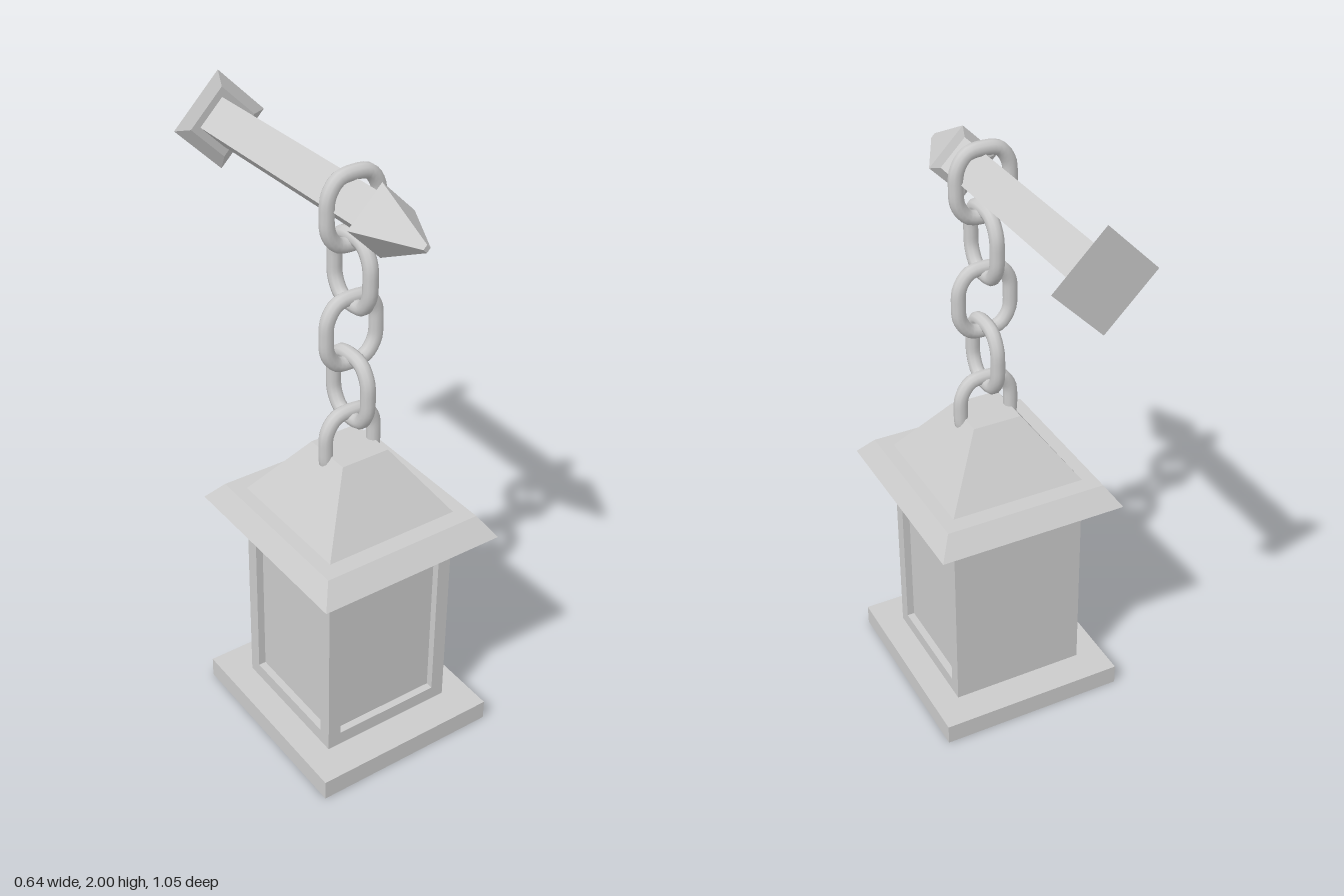
import * as THREE from 'three';

const smooth = new THREE.MeshStandardMaterial({ color: 0xcccccc });
const flat = new THREE.MeshStandardMaterial({ color: 0xcccccc, flatShading: true });
const LANTERN_Z = 0.18; // the lantern hangs in front of the wall plate
const ARM_Y = 1.84;

function part(name, geometry, material = flat) {
  const mesh = new THREE.Mesh(geometry, material);
  mesh.name = name;
  return mesh;
}

// Rectangular block from y0 to y1; half sizes [x, z] at the bottom and top
function block(name, y0, y1, [bx, bz], [tx, tz] = [bx, bz]) {
  const geo = new THREE.BoxGeometry(2, y1 - y0, 2);
  const p = geo.attributes.position;
  for (let i = 0; i < p.count; i++) {
    const top = p.getY(i) > 0;
    p.setX(i, p.getX(i) * (top ? tx : bx));
    p.setZ(i, p.getZ(i) * (top ? tz : bz));
  }
  geo.translate(0, (y0 + y1) / 2, 0);
  geo.computeVertexNormals();
  return part(name, geo);
}

// Four-sided bar along z, standing on its edge
function diamond(name, zBack, zFront, rBack, rFront) {
  const geo = new THREE.CylinderGeometry(rFront, rBack, zFront - zBack, 4);
  geo.rotateX(Math.PI / 2);
  geo.translate(0, ARM_Y, (zBack + zFront) / 2);
  return part(name, geo);
}

// Window frame: a rectangle with an opening, extruded towards +z
function frame(name, halfWidth) {
  const [y0, y1, depth] = [0.07, 0.765, 0.025];
  const rect = (path, w, a, b) =>
    path.moveTo(-w, a).lineTo(w, a).lineTo(w, b).lineTo(-w, b).lineTo(-w, a);
  const shape = new THREE.Shape();
  rect(shape, halfWidth, y0, y1);
  const hole = new THREE.Path();
  rect(hole, 0.184, 0.118, 0.716);
  shape.holes.push(hole);
  return part(name, new THREE.ExtrudeGeometry(shape, { depth, bevelEnabled: false }));
}

// Rounded oblong chain link, mirrored from one quarter
function linkGeometry() {
  const quarter = [[0.088, 0], [0.083, 0.055], [0.052, 0.098], [0, 0.107]];
  const points = [];
  for (let q = 0; q < 4; q++) {
    const sx = q === 0 || q === 3 ? 1 : -1;
    const sy = q < 2 ? 1 : -1;
    const side = q % 2 ? [...quarter].reverse() : quarter;
    for (const [x, y] of side.slice(0, 3)) points.push(new THREE.Vector3(sx * x, sy * y, 0));
  }
  return new THREE.TubeGeometry(new THREE.CatmullRomCurve3(points, true), 40, 0.023, 10, true);
}

export function createModel() {
  const model = new THREE.Group();
  model.name = 'hangingLantern';

  // Wall bracket: plate, arm and pointed finial
  const bracket = new THREE.Group();
  bracket.name = 'wallBracket';
  bracket.add(
    diamond('wallPlate', -0.525, -0.505, 0.16, 0.113),
    diamond('arm', -0.51, 0.305, 0.08, 0.08),
    diamond('finialCollar', 0.298, 0.31, 0.08, 0.112),
    diamond('finialPoint', 0.31, 0.51, 0.112, 0.012),
  );

  // Chain: links alternate by a quarter turn, the last one sinks into the roof
  const chain = new THREE.Group();
  chain.name = 'chain';
  chain.position.z = LANTERN_Z;
  const geo = linkGeometry();
  for (let i = 0; i < 5; i++) {
    const link = part('chainLink', geo, smooth);
    link.position.y = 1.825 - i * 0.1925;
    link.rotation.y = (i % 2) * Math.PI / 2;
    chain.add(link);
  }

  // Lantern: base, body, eaves and roof
  const lantern = new THREE.Group();
  lantern.name = 'lantern';
  lantern.position.z = LANTERN_Z;
  const core = block('body', 0.07, 0.765, [0.205, 0.2175]);
  core.position.z = -0.0125;
  lantern.add(
    block('base', 0, 0.07, [0.32, 0.343]),
    core,
    block('eaves', 0.765, 0.83, [0.32, 0.343], [0.275, 0.287]),
    block('roof', 0.83, 1.035, [0.229, 0.23], [0.083, 0.083]),
  );

  // Recessed windows on the front and both sides; the back stays plain
  const front = frame('frontWindowFrame', 0.205);
  front.position.z = 0.205;
  lantern.add(front);
  for (const s of [1, -1]) {
    const side = frame(s > 0 ? 'leftWindowFrame' : 'rightWindowFrame', 0.23);
    side.rotation.y = s * Math.PI / 2;
    side.position.x = s * 0.205;
    lantern.add(side);
  }

  model.add(bracket, chain, lantern);
  return model;
}
